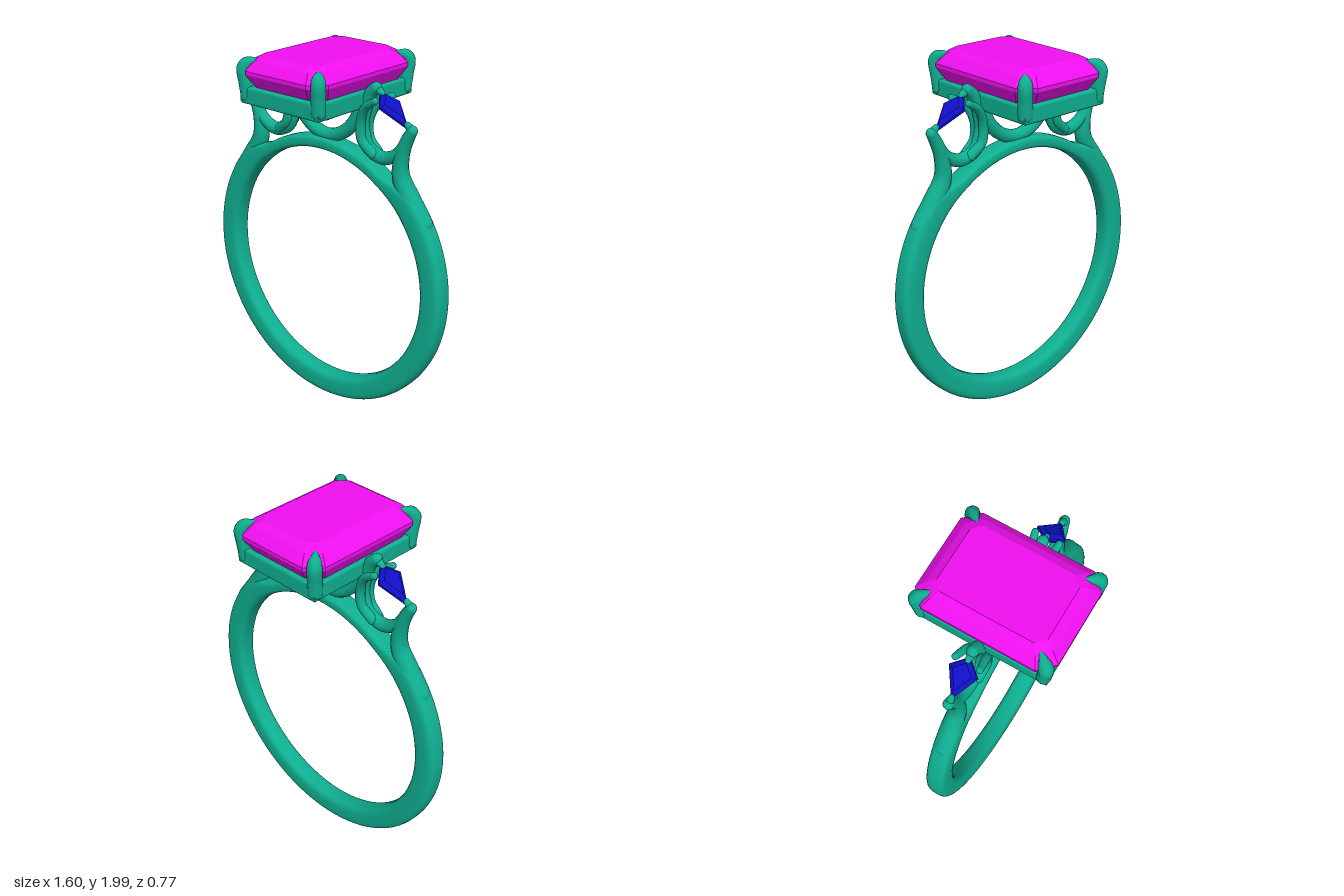
import * as THREE from 'three';

const metal = new THREE.MeshStandardMaterial({ color: 0x0fae90 });
const pink = new THREE.MeshStandardMaterial({ color: 0xf010f0, flatShading: true });
const blue = new THREE.MeshStandardMaterial({ color: 0x1010c8, flatShading: true });

function add(parent, name, geometry, material) {
  const mesh = new THREE.Mesh(geometry, material);
  mesh.name = name;
  parent.add(mesh);
  return mesh;
}

// Round wire through points [x, y, z, radius], with ball ends
function wire(parent, name, pts, steps = 32) {
  const group = new THREE.Group();
  group.name = name;
  parent.add(group);
  const curve = new THREE.CatmullRomCurve3(pts.map(p => new THREE.Vector3(p[0], p[1], p[2])));
  const radial = 14;
  const geo = new THREE.TubeGeometry(curve, steps, 1, radial);
  const pos = geo.attributes.position;
  const v = new THREE.Vector3();
  for (let i = 0; i <= steps; i++) {
    const t = curve.getUtoTmapping(i / steps) * (pts.length - 1);
    const k = Math.min(Math.floor(t), pts.length - 2);
    const r = THREE.MathUtils.lerp(pts[k][3], pts[k + 1][3], t - k);
    const c = curve.getPointAt(i / steps);
    for (let j = 0; j <= radial; j++) {
      const n = i * (radial + 1) + j;
      v.fromBufferAttribute(pos, n).sub(c).multiplyScalar(r).add(c);
      pos.setXYZ(n, v.x, v.y, v.z);
    }
  }
  add(group, name + 'Wire', geo, metal);
  for (const p of [pts[0], pts[pts.length - 1]]) {
    add(group, name + 'End', new THREE.SphereGeometry(p[3], 14, 10), metal).position.set(p[0], p[1], p[2]);
  }
}

// Faceted stone from stacked outlines, listed bottom to top
function stone(rings) {
  const n = rings[0].length, top = rings.length - 1, out = [];
  const tri = (...ps) => ps.forEach(p => out.push(...p));
  for (let i = 0; i < top; i++) {
    for (let j = 0; j < n; j++) {
      const k = (j + 1) % n;
      tri(rings[i][j], rings[i + 1][j], rings[i + 1][k]);
      tri(rings[i][j], rings[i + 1][k], rings[i][k]);
    }
  }
  for (let j = 1; j < n - 1; j++) {
    tri(rings[top][0], rings[top][j + 1], rings[top][j]);
    tri(rings[0][0], rings[0][j], rings[0][j + 1]);
  }
  const geo = new THREE.BufferGeometry();
  geo.setAttribute('position', new THREE.Float32BufferAttribute(out, 3));
  geo.computeVertexNormals();
  return geo;
}

// Finger band: rounded section swept round, thinner across the top
function bandGeometry() {
  const N = 160, M = 28, pos = [], idx = [];
  const soft = c => Math.sign(c) * Math.pow(Math.abs(c), 0.6);
  for (let i = 0; i < N; i++) {
    const a = i / N * Math.PI * 2;
    const fromTop = Math.min(a, Math.PI * 2 - a);
    const t = 0.068 + 0.067 * THREE.MathUtils.smoothstep(fromTop, 0.55, 0.85);
    for (let j = 0; j < M; j++) {
      const k = j / M * Math.PI * 2;
      const r = 0.667 + t / 2 + t / 2 * soft(Math.cos(k));
      pos.push(r * Math.sin(a), 0.808 + r * Math.cos(a), 0.058 * soft(Math.sin(k)));
      const i2 = (i + 1) % N, j2 = (j + 1) % M;
      const p = i * M + j, q = i * M + j2, s = i2 * M + j2, u = i2 * M + j;
      idx.push(p, q, s, p, s, u);
    }
  }
  const geo = new THREE.BufferGeometry();
  geo.setAttribute('position', new THREE.Float32BufferAttribute(pos, 3));
  geo.setIndex(idx);
  geo.computeVertexNormals();
  return geo;
}

// Rectangular basket rail with softened edges
function basketGeometry() {
  const rect = (shape, x, z) => {
    shape.moveTo(-x, -z);
    shape.lineTo(x, -z);
    shape.lineTo(x, z);
    shape.lineTo(-x, z);
    shape.closePath();
    return shape;
  };
  const shape = rect(new THREE.Shape(), 0.255, 0.35);
  shape.holes.push(rect(new THREE.Path(), 0.22, 0.315));
  const geo = new THREE.ExtrudeGeometry(shape, {
    depth: 0.065, bevelEnabled: true, bevelSize: 0.014, bevelThickness: 0.014, bevelSegments: 4,
  });
  return geo.rotateX(-Math.PI / 2).translate(0, 1.76, 0);
}

// Shoulder, cradle, claws and small kite stone on the +x side
function makeSide(name) {
  const side = new THREE.Group();
  side.name = name;
  wire(side, 'shoulder', [[0.64, 1.21, 0, 0.057], [0.555, 1.33, 0, 0.056], [0.497, 1.44, 0, 0.046],
    [0.502, 1.55, 0, 0.038], [0.53, 1.63, 0, 0.034], [0.56, 1.685, 0, 0.028]]);
  wire(side, 'outerClawTip', [[0.56, 1.685, 0, 0.028], [0.53, 1.71, 0, 0.016]], 6);
  wire(side, 'cradle', [[0.53, 1.63, 0, 0.03], [0.47, 1.545, 0, 0.032], [0.38, 1.505, 0, 0.036],
    [0.28, 1.545, 0, 0.036], [0.245, 1.64, 0, 0.034], [0.262, 1.75, 0, 0.034],
    [0.295, 1.83, 0, 0.034], [0.328, 1.862, 0, 0.03]], 48);
  wire(side, 'innerClawTip', [[0.328, 1.862, 0, 0.03], [0.37, 1.838, 0, 0.014]], 6);
  for (const s of [-1, 1]) {
    wire(side, 'sideClaw', [[0.33, 1.52, 0.02 * s, 0.028], [0.265, 1.58, 0.03 * s, 0.026],
      [0.258, 1.68, 0.035 * s, 0.025], [0.3, 1.765, 0.052 * s, 0.023], [0.375, 1.815, 0.067 * s, 0.018]]);
  }
  const kite = (f, y) => [[0.155, 0], [0, 0.078], [-0.08, 0], [0, -0.078]].map(([x, z]) => [x * f, y, z * f]);
  const gem = add(side, 'sideStone', stone([kite(0.55, -0.03), kite(1, -0.006), kite(1, 0.006), kite(0.66, 0.022)]), blue);
  gem.position.set(0.413, 1.789, 0);
  gem.rotation.z = -0.69;
  return side;
}

export function createModel() {
  const ring = new THREE.Group();
  ring.name = 'ring';
  add(ring, 'band', bandGeometry(), metal);
  add(ring, 'basketRail', basketGeometry(), metal);

  // Arch under the main stone
  wire(ring, 'basketArch', [[-0.235, 1.775, 0, 0.036], [-0.195, 1.67, 0, 0.036], [-0.11, 1.585, 0, 0.036],
    [0, 1.552, 0, 0.036], [0.11, 1.585, 0, 0.036], [0.195, 1.67, 0, 0.036], [0.235, 1.775, 0, 0.036]], 48);

  // Corner claws
  for (const x of [-1, 1]) for (const z of [-1, 1]) {
    wire(ring, 'cornerClaw', [[0.245 * x, 1.785, 0.335 * z, 0.037], [0.25 * x, 1.86, 0.342 * z, 0.038],
      [0.255 * x, 1.93, 0.348 * z, 0.038], [0.244 * x, 1.955, 0.335 * z, 0.033],
      [0.205 * x, 1.972, 0.29 * z, 0.008]]);
  }

  // Main stone: cut-corner rectangles from point to table
  const cut = (x, z, y, c) => [[x, z - c], [x - c, z], [c - x, z], [-x, z - c], [-x, c - z], [c - x, -z],
    [x - c, -z], [x, c - z]].map(([a, b]) => [a, y, b]);
  add(ring, 'mainStone', stone([
    cut(0.002, 0.002, 1.627, 0.0005), cut(0.06, 0.13, 1.66, 0.016), cut(0.195, 0.275, 1.745, 0.05),
    cut(0.285, 0.385, 1.907, 0.078), cut(0.285, 0.385, 1.927, 0.078),
    cut(0.238, 0.338, 1.975, 0.06), cut(0.195, 0.295, 2.0, 0.045),
  ]), pink);

  const left = makeSide('leftShoulder');
  const right = makeSide('rightShoulder');
  right.rotation.y = Math.PI;
  ring.add(left, right);
  return ring;
}
